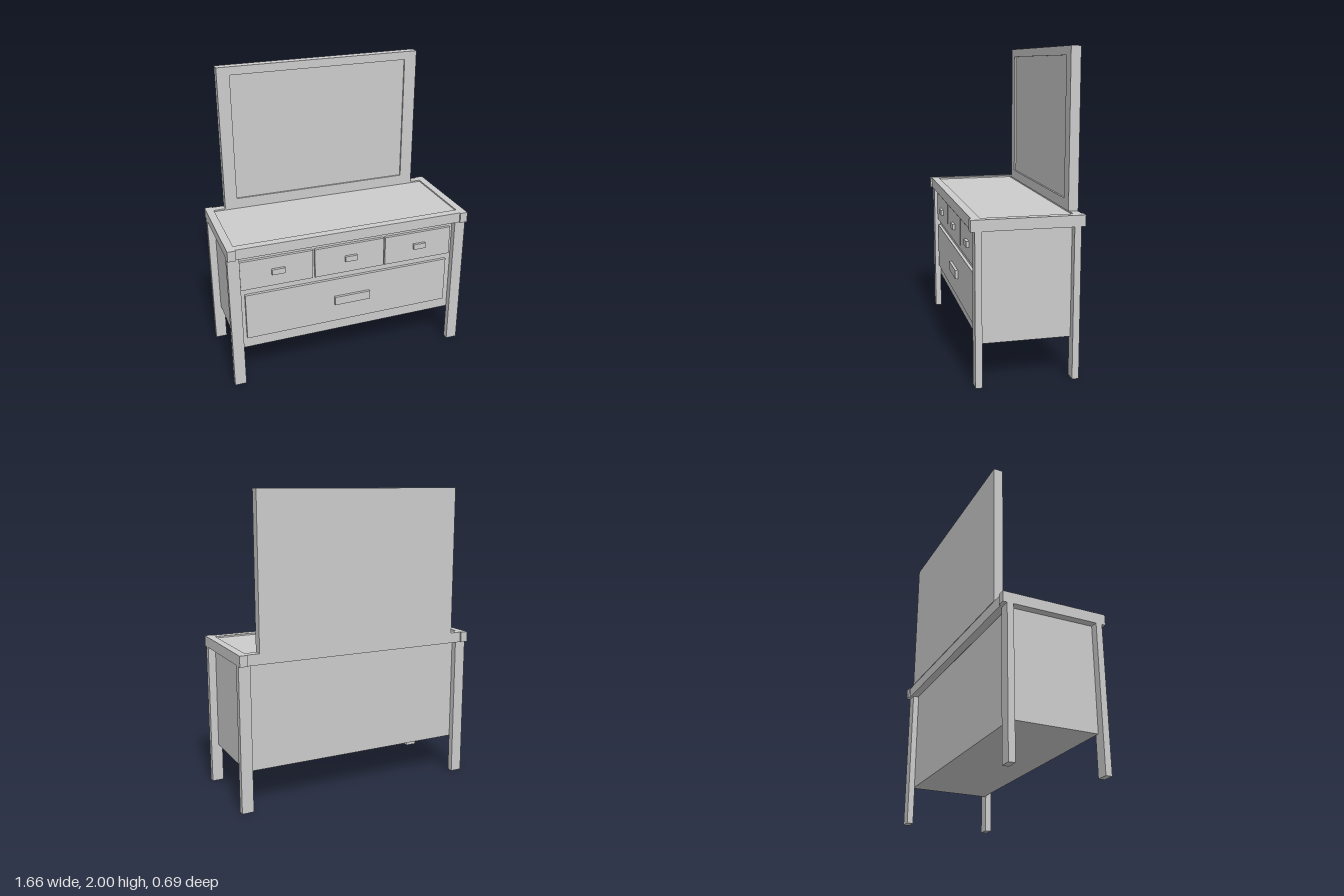
import * as THREE from 'three';

const material = new THREE.MeshStandardMaterial({ color: 0xcccccc });

// Box given by its [min, max] range on each axis
function box(name, [x0, x1], [y0, y1], [z0, z1]) {
  const mesh = new THREE.Mesh(new THREE.BoxGeometry(x1 - x0, y1 - y0, z1 - z0), material);
  mesh.position.set((x0 + x1) / 2, (y0 + y1) / 2, (z0 + z1) / 2);
  mesh.name = name;
  return mesh;
}

// Drawer front with its bar handle
function drawer(name, xRange, yRange, handleX, handleY) {
  const group = new THREE.Group();
  group.name = name;
  group.add(
    box('drawerFront', xRange, yRange, [0.27, 0.3]),
    box('drawerHandle', handleX, handleY, [0.295, 0.318])
  );
  return group;
}

// Corners of an upright rectangle, anticlockwise
function corners(x0, x1, y0, y1) {
  return [[x0, y0], [x1, y0], [x1, y1], [x0, y1]].map(([x, y]) => new THREE.Vector2(x, y));
}

export function createModel() {
  const model = new THREE.Group();
  model.name = 'dresser';

  // Cabinet body, its sides set slightly in from the legs, and the sunken top panel
  model.add(box('cabinetBody', [-0.782, 0.782], [0.257, 0.98], [-0.28, 0.28]));
  model.add(box('topPanel', [-0.785, 0.785], [0.955, 1.01], [-0.29, 0.285]));

  // Legs and the end rails of the top rim
  for (const side of [-1, 1]) {
    const legX = side < 0 ? [-0.832, -0.755] : [0.755, 0.832];
    const railX = side < 0 ? [-0.832, -0.78] : [0.78, 0.832];
    model.add(
      box('frontLeg', legX, [0, 0.96], [0.28, 0.322]),
      box('backLeg', legX, [0, 0.96], [-0.32, -0.278]),
      box('endRail', railX, [0.95, 1.02], [-0.347, 0.347])
    );
  }

  // Front and back rails of the rim
  model.add(box('frontRail', [-0.78, 0.78], [0.95, 1.02], [0.28, 0.335]));
  model.add(box('backRail', [-0.78, 0.78], [0.95, 1.02], [-0.338, -0.285]));

  // Three small drawers above one wide drawer
  const smallDrawers = [
    [[-0.75, -0.265], [-0.545, -0.457]],
    [[-0.25, 0.237], [-0.043, 0.04]],
    [[0.248, 0.733], [0.455, 0.54]],
  ];
  for (const [xRange, handleX] of smallDrawers) {
    model.add(drawer('smallDrawer', xRange, [0.703, 0.907], handleX, [0.787, 0.825]));
  }
  model.add(drawer('wideDrawer', [-0.725, 0.713], [0.337, 0.66], [-0.116, 0.136], [0.47, 0.53]));

  // Mirror: frame with a rectangular opening, and a glass set back inside it
  const frame = new THREE.Shape(corners(-0.7, 0.703, 1.02, 2));
  frame.holes.push(new THREE.Path(corners(-0.615, 0.616, 1.085, 1.945).reverse()));
  const frameMesh = new THREE.Mesh(
    new THREE.ExtrudeGeometry(frame, { depth: 0.062, bevelEnabled: false }), material);
  frameMesh.position.z = -0.342;
  frameMesh.name = 'mirrorFrame';
  model.add(frameMesh);
  model.add(box('mirrorGlass', [-0.615, 0.616], [1.085, 1.945], [-0.342, -0.292]));

  return model;
}
